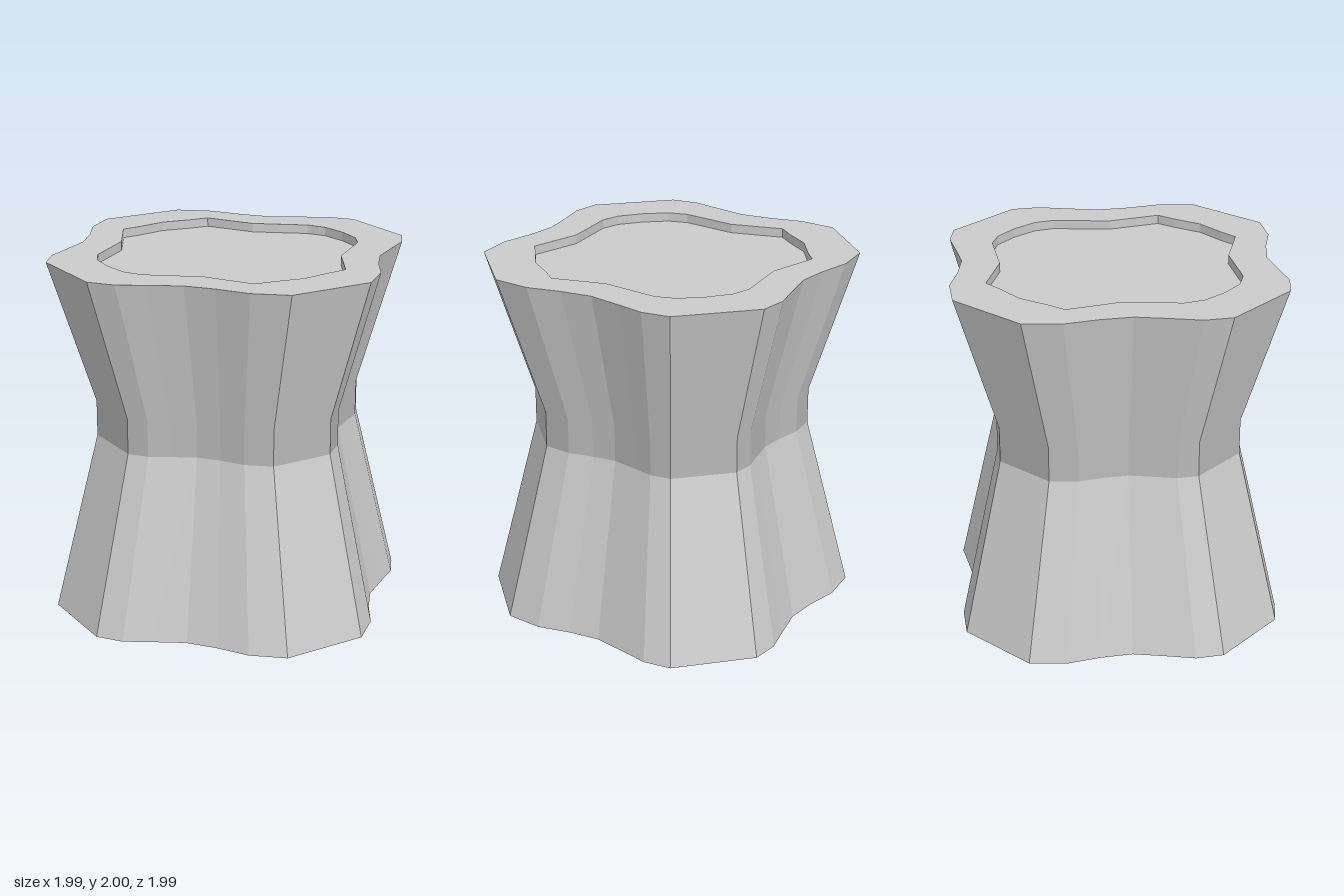
import * as THREE from 'three';

// One quadrant of each outline, as (x, z) from the front round to the side
const OUTER = [[0.24, 0.995], [0.4, 0.86], [0.5, 0.7], [0.61, 0.56], [0.77, 0.45], [0.9, 0.365], [0.995, 0.24]];
const INNER = [[0, 0.75], [0.17, 0.72], [0.28, 0.71], [0.43, 0.45], [0.68, 0.25], [0.735, 0.15], [0.75, 0]];

// Mirror a quadrant into a closed ring, dropping points doubled on the axes
function ring(quadrant) {
  const back = [...quadrant].reverse();
  const all = [
    ...quadrant,
    ...back.map(([x, z]) => [x, -z]),
    ...quadrant.map(([x, z]) => [-x, -z]),
    ...back.map(([x, z]) => [-x, z]),
  ];
  return all.filter(([x, z], i) => {
    const [px, pz] = all[(i + all.length - 1) % all.length];
    return Math.hypot(x - px, z - pz) > 1e-6;
  });
}

// Wall through levels [y, scale]; each column of panels is shaded as one facet
function wall(points, levels) {
  const pos = [], nor = [];
  const at = (i, [y, s]) => {
    const [x, z] = points[i % points.length];
    return new THREE.Vector3(x * s, y, z * s);
  };
  const last = levels[levels.length - 1];
  for (let i = 0; i < points.length; i++) {
    const a0 = at(i, levels[0]);
    const n = at(i + 1, levels[0]).sub(a0).cross(at(i, last).sub(a0)).normalize();
    for (let k = 0; k < levels.length - 1; k++) {
      const a = at(i, levels[k]), b = at(i + 1, levels[k]);
      const c = at(i + 1, levels[k + 1]), d = at(i, levels[k + 1]);
      for (const v of [a, b, c, a, c, d]) {
        pos.push(v.x, v.y, v.z);
        nor.push(n.x, n.y, n.z);
      }
    }
  }
  const g = new THREE.BufferGeometry();
  g.setAttribute('position', new THREE.Float32BufferAttribute(pos, 3));
  g.setAttribute('normal', new THREE.Float32BufferAttribute(nor, 3));
  return g;
}

// Flat horizontal face, optionally with a hole
function plate(points, y, up, hole) {
  const toVec = ([x, z]) => new THREE.Vector2(x, z);
  const shape = new THREE.Shape(points.map(toVec));
  if (hole) shape.holes.push(new THREE.Path(hole.map(toVec)));
  return new THREE.ShapeGeometry(shape).rotateX(up ? -Math.PI / 2 : Math.PI / 2).translate(0, y, 0);
}

export function createModel() {
  const model = new THREE.Group();
  model.name = 'waistedStool';
  const material = new THREE.MeshStandardMaterial({ color: 0xcccccc });
  const add = (name, geometry) => {
    const mesh = new THREE.Mesh(geometry, material);
    mesh.name = name;
    model.add(mesh);
  };
  const outer = ring(OUTER), inner = ring(INNER);

  // Flared body, narrowest at the waist
  add('lowerBody', wall(outer, [[0, 1], [1, 0.75]]));
  add('upperBody', wall(outer, [[1, 0.75], [1.2, 0.75], [2, 1]]));
  add('base', plate(outer, 0, false));

  // Rim around a shallow recess in the top
  add('rim', plate(outer, 2, true, inner));
  add('recessWall', wall(inner, [[2, 1], [1.95, 1]]));
  add('recessFloor', plate(inner, 1.95, true));
  return model;
}
